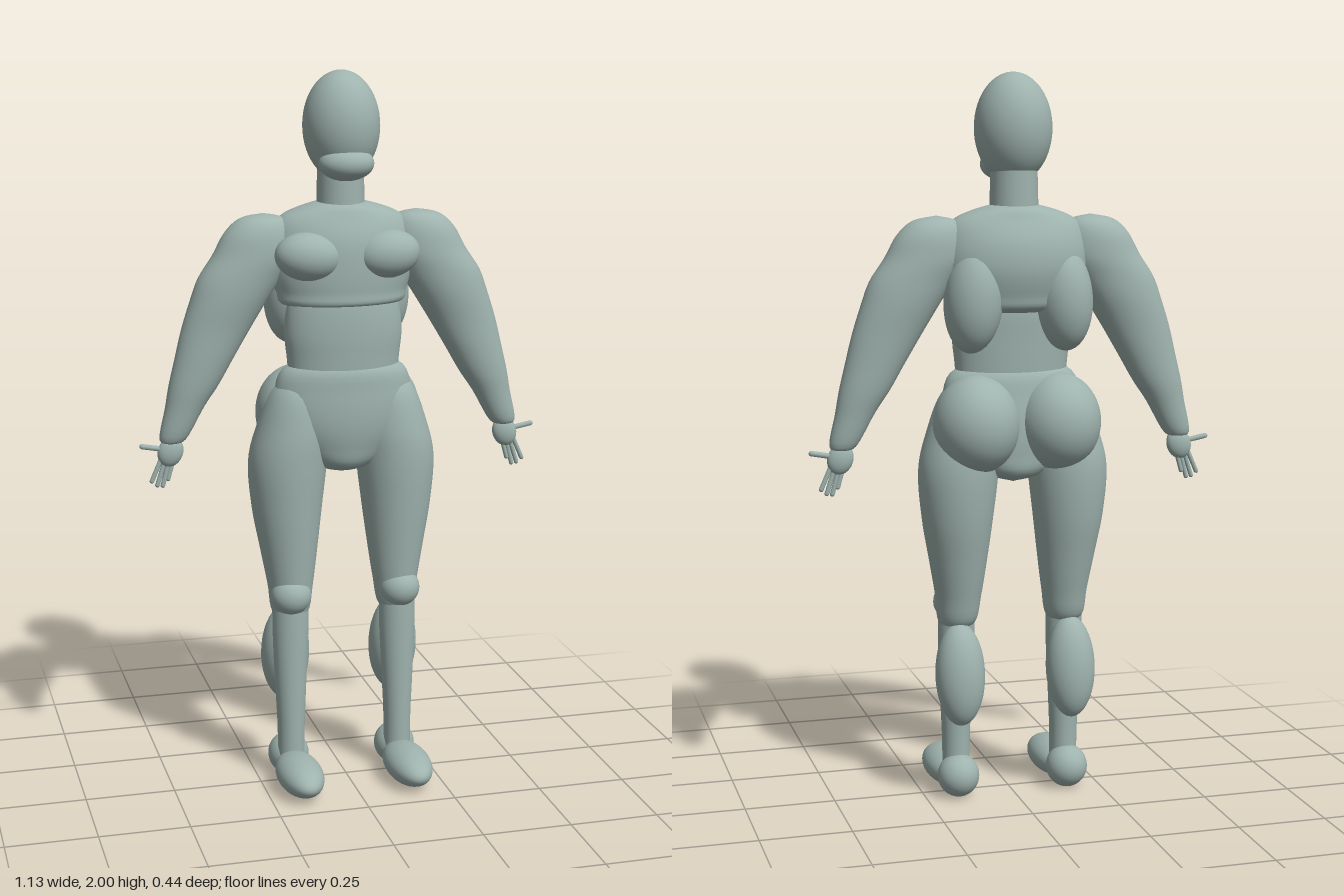
import * as THREE from 'three';

const skin = new THREE.MeshStandardMaterial({ color: 0x9fb3ae });
skin.name = 'greyGreen';

export function createModel() {
  const model = new THREE.Group();
  model.name = 'figure';

  function add(name, geometry) {
    const mesh = new THREE.Mesh(geometry, skin);
    mesh.name = name;
    model.add(mesh);
    return mesh;
  }

  function ellipsoid(name, [x, y, z], [rx, ry, rz], tiltX = 0, tiltZ = 0) {
    const mesh = add(name, new THREE.SphereGeometry(1, 40, 28));
    mesh.position.set(x, y, z);
    mesh.scale.set(rx, ry, rz);
    mesh.rotation.set(tiltX, 0, tiltZ);
    return mesh;
  }

  // Smooth body from horizontal elliptical rings, top to bottom: [x, y, z, rx, rz]
  function loft(name, rings, side = 1, sides = 40, perRing = 5) {
    const centres = new THREE.CatmullRomCurve3(
      rings.map(([x, y, z]) => new THREE.Vector3(x * side, y, z)), false, 'catmullrom');
    const radii = new THREE.CatmullRomCurve3(
      rings.map(([, , , rx, rz]) => new THREE.Vector3(rx, rz, 0)), false, 'catmullrom');
    const steps = (rings.length - 1) * perRing;
    const positions = [], indices = [];
    for (let i = 0; i <= steps; i++) {
      const c = centres.getPoint(i / steps), r = radii.getPoint(i / steps);
      for (let j = 0; j < sides; j++) {
        const a = j / sides * Math.PI * 2;
        positions.push(c.x + Math.cos(a) * Math.max(r.x, 0), c.y, c.z + Math.sin(a) * Math.max(r.y, 0));
        if (i < steps) {
          const p = i * sides + j, q = i * sides + (j + 1) % sides;
          indices.push(p, q, p + sides, q, q + sides, p + sides);
        }
      }
    }
    const g = new THREE.BufferGeometry();
    g.setAttribute('position', new THREE.Float32BufferAttribute(positions, 3));
    g.setIndex(indices);
    g.computeVertexNormals();
    return add(name, g);
  }

  // Thin finger between two points
  function finger(name, from, to, r) {
    const a = new THREE.Vector3(...from), b = new THREE.Vector3(...to);
    const d = b.clone().sub(a);
    const mesh = add(name, new THREE.CapsuleGeometry(r, d.length(), 4, 10));
    mesh.position.copy(a).add(b).multiplyScalar(0.5);
    mesh.quaternion.setFromUnitVectors(new THREE.Vector3(0, 1, 0), d.normalize());
  }

  // Head and neck
  ellipsoid('head', [0, 1.852, -0.05], [0.105, 0.148, 0.109]);
  ellipsoid('jaw', [0, 1.755, 0.005], [0.076, 0.047, 0.06]);
  const neck = add('neck', new THREE.CylinderGeometry(0.063, 0.067, 0.16, 40));
  neck.position.set(0, 1.68, -0.058);

  // Trunk
  loft('chest', [
    [0, 1.655, -0.06, 0, 0], [0, 1.645, -0.06, 0.08, 0.066], [0, 1.61, -0.06, 0.17, 0.09],
    [0, 1.55, -0.062, 0.2, 0.115], [0, 1.48, -0.062, 0.205, 0.122], [0, 1.41, -0.055, 0.185, 0.113],
    [0, 1.37, -0.05, 0.16, 0.098], [0, 1.35, -0.05, 0, 0],
  ]);
  loft('waist', [
    [0, 1.42, -0.035, 0.145, 0.08], [0, 1.36, -0.033, 0.16, 0.088], [0, 1.29, -0.03, 0.165, 0.088],
    [0, 1.22, -0.03, 0.158, 0.085], [0, 1.12, -0.03, 0.15, 0.08],
  ]);
  loft('pelvis', [
    [0, 1.225, -0.03, 0, 0], [0, 1.205, -0.03, 0.155, 0.08], [0, 1.13, -0.035, 0.195, 0.098],
    [0, 1.05, -0.04, 0.192, 0.104], [0, 0.98, -0.045, 0.15, 0.098], [0, 0.92, -0.05, 0.085, 0.08],
    [0, 0.892, -0.05, 0, 0],
  ]);

  for (const [label, s] of [['left', 1], ['right', -1]]) {
    const at = (x, y, z) => [x * s, y, z];

    // Trunk muscles
    ellipsoid(label + 'Breast', at(0.11, 1.51, 0.02), [0.092, 0.066, 0.064], 0, s * 0.1);
    ellipsoid(label + 'BackMuscle', at(0.125, 1.4, -0.105), [0.08, 0.145, 0.083], 0, s * 0.08);
    ellipsoid(label + 'Buttock', at(0.115, 1.06, -0.092), [0.118, 0.135, 0.124]);

    // Arm
    loft(label + 'Arm', [
      [0.215, 1.622, -0.058, 0, 0], [0.22, 1.608, -0.058, 0.06, 0.045], [0.23, 1.57, -0.058, 0.093, 0.068],
      [0.245, 1.51, -0.057, 0.112, 0.076], [0.282, 1.45, -0.056, 0.115, 0.076],
      [0.313, 1.39, -0.056, 0.107, 0.073], [0.351, 1.31, -0.056, 0.095, 0.064],
      [0.385, 1.23, -0.055, 0.081, 0.058], [0.414, 1.16, -0.055, 0.069, 0.052],
      [0.44, 1.1, -0.055, 0.054, 0.043], [0.475, 1.01, -0.055, 0.036, 0.028],
      [0.476, 1.002, -0.055, 0, 0],
    ], s);

    // Hand
    ellipsoid(label + 'Palm', at(0.482, 0.976, -0.055), [0.035, 0.043, 0.021], 0, s * 0.35);
    for (let i = 0; i < 4; i++) {
      finger(label + 'Finger' + (i + 1), at(0.476 + i * 0.01, 0.95 + i * 0.004, -0.055),
        at(0.49 + i * 0.015, [0.9, 0.882, 0.884, 0.896][i], -0.055), 0.0065);
    }
    finger(label + 'Thumb', at(0.495, 0.983, -0.055), at(0.56, 0.995, -0.055), 0.0075);

    // Leg
    loft(label + 'Thigh', [
      [0.125, 1.19, -0.04, 0, 0], [0.132, 1.14, -0.04, 0.065, 0.07], [0.142, 1.03, -0.045, 0.1, 0.1],
      [0.155, 0.93, -0.05, 0.11, 0.108], [0.158, 0.8, -0.049, 0.098, 0.099],
      [0.155, 0.68, -0.042, 0.08, 0.082], [0.153, 0.58, -0.035, 0.064, 0.066],
      [0.155, 0.5, -0.028, 0.05, 0.05], [0.155, 0.48, -0.025, 0, 0],
    ], s);
    ellipsoid(label + 'Knee', at(0.158, 0.553, -0.003), [0.057, 0.055, 0.053]);
    loft(label + 'Shin', [
      [0.156, 0.58, -0.025, 0.05, 0.05], [0.156, 0.45, -0.022, 0.051, 0.047],
      [0.157, 0.3, -0.02, 0.045, 0.044], [0.157, 0.17, -0.018, 0.039, 0.041],
      [0.157, 0.06, -0.018, 0.038, 0.04],
    ], s);
    ellipsoid(label + 'Calf', at(0.159, 0.363, -0.078), [0.069, 0.143, 0.064], 0.1);

    // Foot
    ellipsoid(label + 'Foot', at(0.158, 0.055, 0.09), [0.064, 0.05, 0.13]);
    ellipsoid(label + 'Heel', at(0.158, 0.065, -0.05), [0.058, 0.06, 0.06]);
  }
  return model;
}
